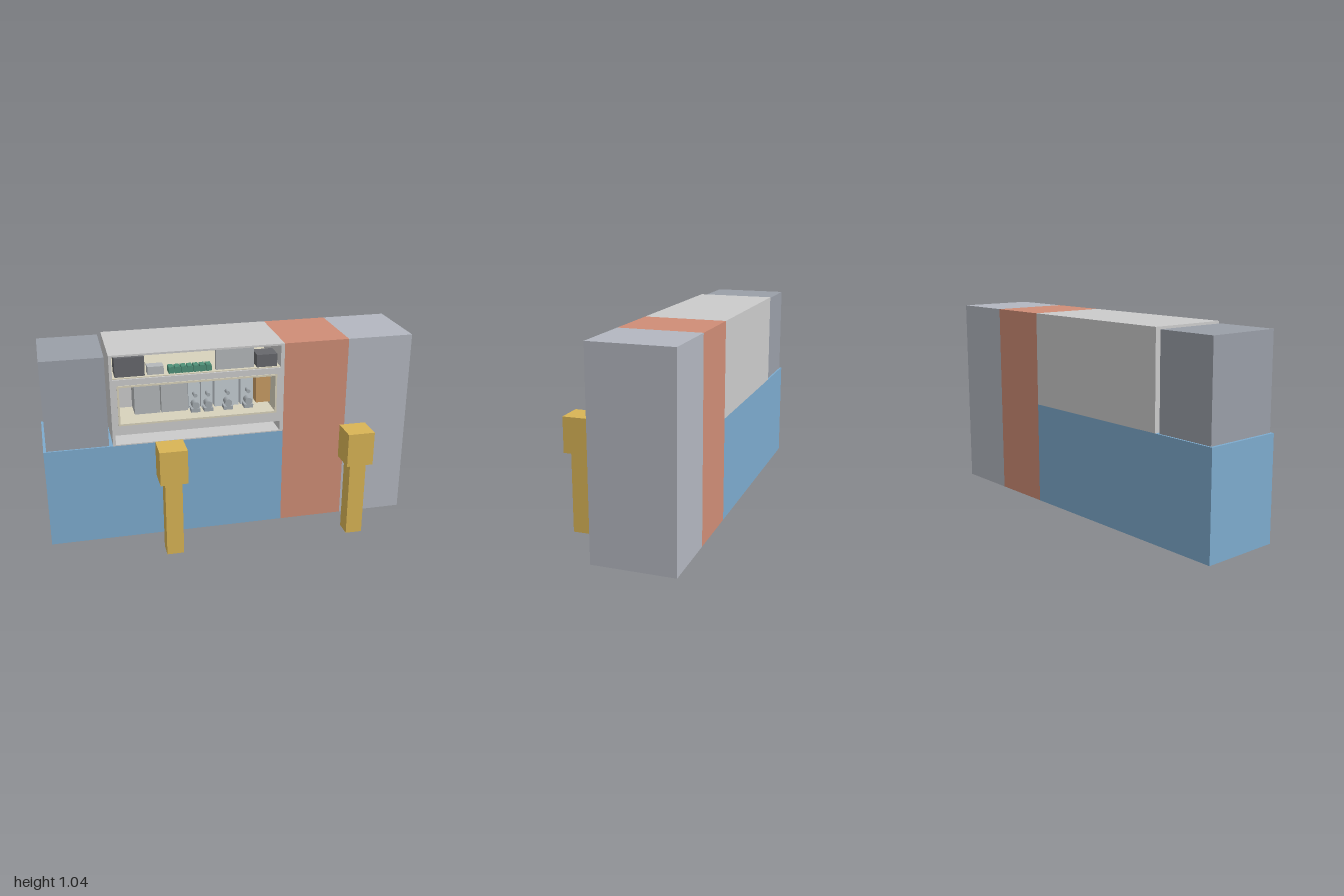
import * as THREE from 'three';

const mat = (color) => new THREE.MeshStandardMaterial({ color });
const M = {
  blue: mat(0x7dabce), orange: mat(0xcf8d76), grey: mat(0xb3b7c0), shell: mat(0xc2c5c6),
  slate: mat(0x9a9fa8), yellow: mat(0xd9b455), cream: mat(0xd8d2bc), dark: mat(0x66686c),
  green: mat(0x4f9078), panel: mat(0xb4b8ba), pale: mat(0xc6ced4), tan: mat(0xc89c64), steel: mat(0xa4abb0),
};

export function createModel() {
  const root = new THREE.Group();

  // Box given by its extents along each axis
  const box = (name, m, [x0, x1], [y0, y1], [z0, z1], parent = root) => {
    const mesh = new THREE.Mesh(new THREE.BoxGeometry(x1 - x0, y1 - y0, z1 - z0), m);
    mesh.position.set((x0 + x1) / 2, (y0 + y1) / 2, (z0 + z1) / 2);
    mesh.name = name;
    parent.add(mesh);
    return mesh;
  };
  const group = (name) => {
    const g = new THREE.Group();
    g.name = name;
    root.add(g);
    return g;
  };
  // Rectangular plate with rectangular holes, extruded from z0 to z1
  const rect = (P, [x0, x1], [y0, y1]) => {
    const p = new P();
    p.moveTo(x0, y0).lineTo(x1, y0).lineTo(x1, y1).lineTo(x0, y1).closePath();
    return p;
  };
  const frame = (name, m, xs, ys, [z0, z1], holes, parent) => {
    const s = rect(THREE.Shape, xs, ys);
    s.holes = holes.map(([hx, hy]) => rect(THREE.Path, hx, hy));
    const g = new THREE.ExtrudeGeometry(s, { depth: z1 - z0, bevelEnabled: false });
    g.translate(0, 0, z0);
    const mesh = new THREE.Mesh(g, m);
    mesh.name = name;
    parent.add(mesh);
  };

  // Large blocks
  const Z = [-0.345, 0.08];
  box('lowerBlock', M.blue, [-1, 0.285], [0, 0.547], Z);
  box('middleColumn', M.orange, [0.285, 0.64], [0, 1.045], Z);
  box('endColumn', M.grey, [0.64, 1], [0, 1.045], Z);
  box('sideBlock', M.slate, [-0.985, -0.66], [0.547, 1.035], [-0.335, 0.07]);

  // Cabinet shell with three openings
  const cab = group('cabinet');
  const top = [[-0.625, 0.265], [0.912, 1.035]];
  const mid = [[-0.605, 0.245], [0.66, 0.88]];
  const low = [[-0.625, 0.265], [0.553, 0.607]];
  frame('cabinetShell', M.shell, [-0.64, 0.285], [0.547, 1.045], [-0.3, 0.08], [top, mid, low], cab);
  box('cabinetBack', M.shell, [-0.64, 0.285], [0.547, 1.045], [-0.345, -0.3], cab);

  // Upper compartment with electrical parts
  const up = group('upperCompartment');
  box('upperFloor', M.cream, top[0], [0.912, 0.917], [-0.3, 0.07], up);
  box('leftController', M.dark, [-0.61, -0.455], [0.917, 1.02], [-0.05, 0.055], up);
  box('relay', M.panel, [-0.44, -0.355], [0.917, 0.96], [-0.01, 0.05], up);
  box('coverPanel', M.panel, [-0.08, 0.125], [0.917, 1.033], [0.03, 0.05], up);
  box('rightController', M.dark, [0.14, 0.25], [0.917, 0.985], [-0.04, 0.06], up);
  box('terminalBase', M.green, [-0.33, -0.1], [0.917, 0.94], [0, 0.045], up);
  for (let i = 0; i < 7; i++) {
    const x = -0.33 + i * 0.033;
    box('terminal', M.green, [x, x + 0.027], [0.917, 0.952], [0.005, 0.055], up);
  }

  // Middle compartment: lining, back plate and modules
  const bay = group('instrumentBay');
  frame('bayLining', M.cream, mid[0], mid[1], [-0.16, 0.085], [[[-0.595, 0.235], [0.67, 0.87]]], bay);
  box('bayBack', M.shell, mid[0], mid[1], [-0.17, -0.15], bay);
  box('module', M.panel, [-0.507, -0.37], [0.675, 0.864], [-0.15, -0.02], bay);
  box('module', M.panel, [-0.364, -0.22], [0.675, 0.864], [-0.15, -0.02], bay);
  box('tanModule', M.tan, [0.155, 0.235], [0.69, 0.85], [-0.15, -0.01], bay);

  // Flow modules, each with a control knob, a valve and a base
  for (const [x0, x1] of [[-0.214, -0.15], [-0.144, -0.08], [-0.07, 0.065], [0.075, 0.145]]) {
    const x = (x0 + x1) / 2;
    box('flowPanel', M.pale, [x0, x1], [0.675, 0.853], [-0.15, -0.04], bay);
    box('flowBase', M.steel, [x - 0.025, x + 0.025], [0.67, 0.69], [-0.04, 0.01], bay);
    for (const [y, r, len] of [[0.762, 0.011, 0.04], [0.708, 0.02, 0.05], [0.84, 0.007, 0.015]]) {
      const knob = new THREE.Mesh(new THREE.CylinderGeometry(r, r, len, 16), M.steel);
      knob.rotation.x = Math.PI / 2;
      knob.position.set(x, y, -0.04 + len / 2);
      knob.name = 'knob';
      bay.add(knob);
    }
  }

  // Two posts in front
  for (const x of [-0.362, 0.638]) {
    const post = group('post');
    box('postShaft', M.yellow, [x - 0.045, x + 0.045], [0, 0.422], [0.23, 0.32], post);
    box('postHead', M.yellow, [x - 0.072, x + 0.072], [0.422, 0.607], [0.203, 0.347], post);
  }
  return root;
}
